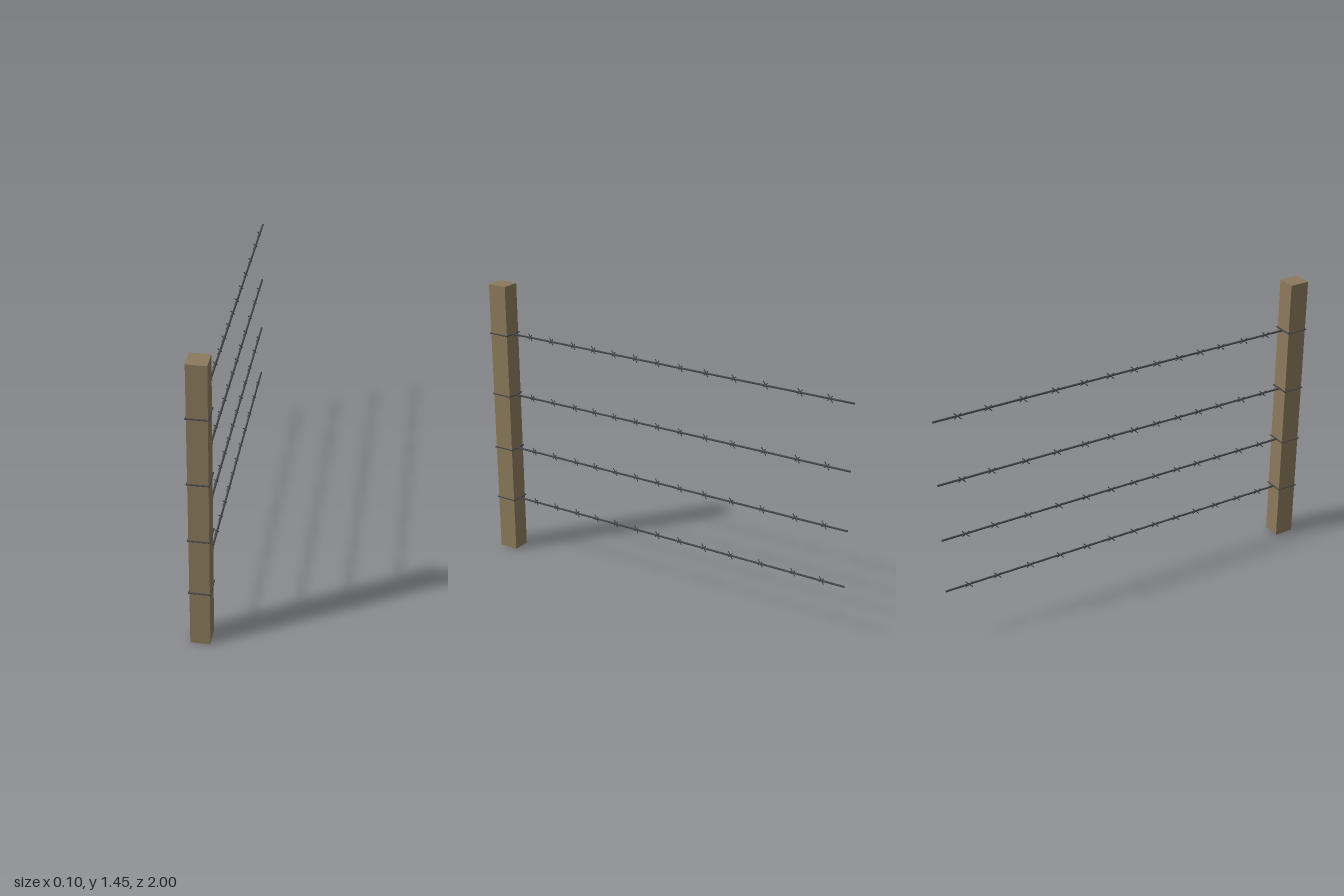
import * as THREE from 'three';

export function createModel() {
  const model = new THREE.Group();
  const wood = new THREE.MeshStandardMaterial({ name: 'weathered wood', color: 0x8c7a5c });
  const steel = new THREE.MeshStandardMaterial({ name: 'dark steel', color: 0x45484c });
  wood.flatShading = true;

  const add = (parent, name, geometry, material) => {
    const mesh = new THREE.Mesh(geometry, material);
    mesh.name = name;
    parent.add(mesh);
    return mesh;
  };

  // Thin rod between two points
  const rod = (parent, name, a, b, radius, sides) => {
    const dir = b.clone().sub(a);
    const mesh = add(parent, name, new THREE.CylinderGeometry(radius, radius, dir.length(), sides), steel);
    mesh.position.copy(a).add(b).multiplyScalar(0.5);
    mesh.quaternion.setFromUnitVectors(new THREE.Vector3(0, 1, 0), dir.normalize());
    return mesh;
  };
  const v = (x, y, z) => new THREE.Vector3(x, y, z);

  // Square post at the front end
  const postZ = 0.945, halfX = 0.046, halfZ = 0.05, height = 1.445;
  add(model, 'post', new THREE.BoxGeometry(halfX * 2, height, halfZ * 2), wood)
    .position.set(0, height / 2, postZ);

  const barbZ = [0.785, 0.655, 0.52, 0.4, 0.28, 0.155, 0.03, -0.1, -0.24, -0.39, -0.555, -0.73, -0.88];

  for (const y of [0.285, 0.57, 0.865, 1.19]) {
    const strand = new THREE.Group();
    strand.name = 'barbedStrand';
    strand.position.y = y;
    model.add(strand);

    // Long wire running back from the post
    rod(strand, 'wire', v(0, 0, 0.9), v(0, 0, -1), 0.005, 8);

    // Wire loop tied around the post
    const tx = halfX + 0.002, tz = halfZ + 0.002, r = 0.0035;
    for (const s of [-1, 1]) {
      rod(strand, 'tieSide', v(s * tx, 0, postZ - tz - r), v(s * tx, 0, postZ + tz + r), r, 6);
      rod(strand, 'tieEnd', v(-tx - r, 0, postZ + s * tz), v(tx + r, 0, postZ + s * tz), r, 6);
    }

    // Crossed barbs, slightly skewed across the wire
    for (const z of barbZ) {
      for (const s of [-1, 1]) {
        rod(strand, 'barb', v(-0.01, s * 0.015, z + 0.015), v(0.004, -s * 0.015, z - 0.015), 0.0025, 5);
      }
    }
  }
  return model;
}
